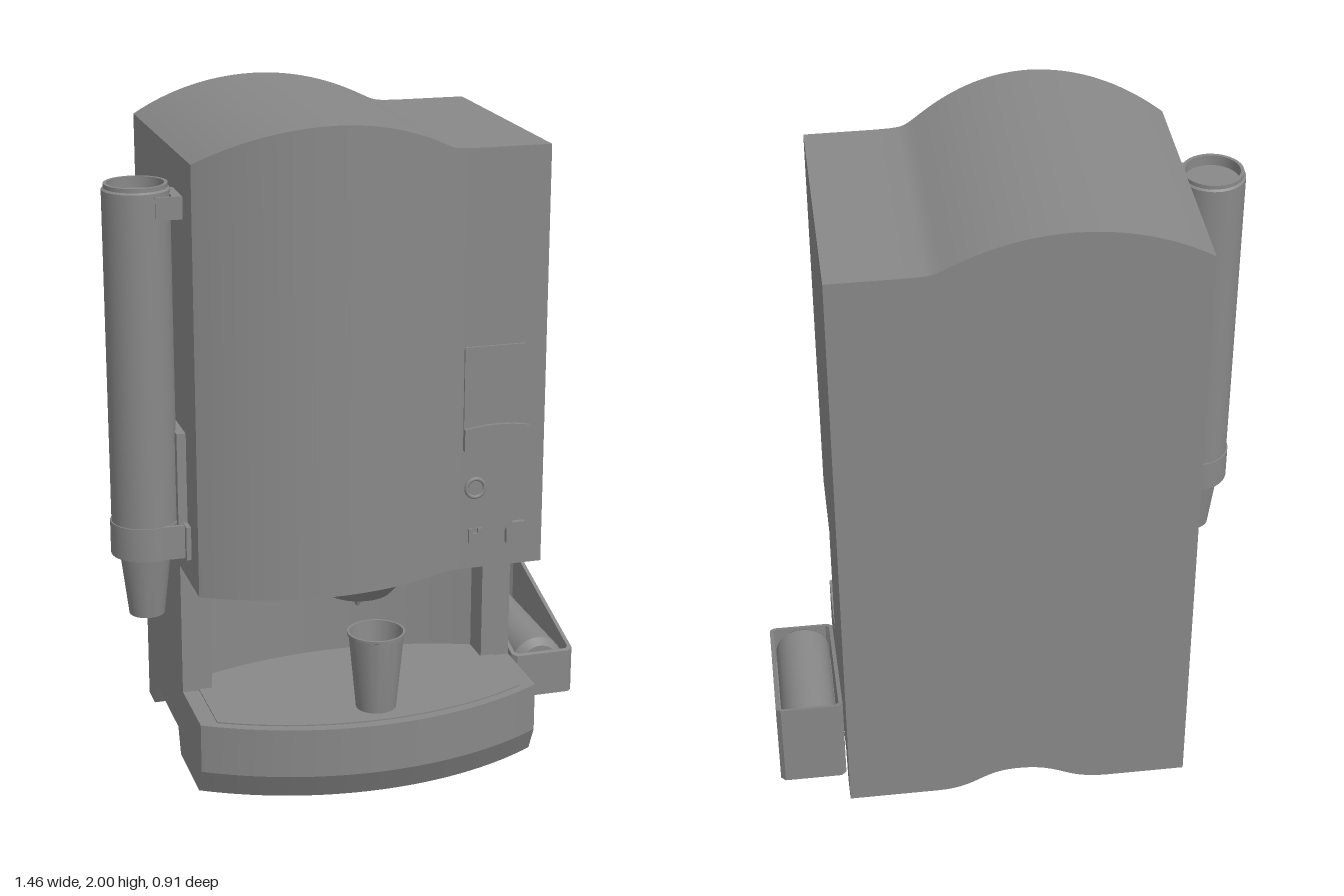
import * as THREE from 'three';
import { toCreasedNormals } from 'three/addons/utils/BufferGeometryUtils.js';

const V2 = (x, y) => new THREE.Vector2(x, y);

export function createModel() {
  const model = new THREE.Group();
  const grey = new THREE.MeshStandardMaterial({ color: 0x888888 });
  const thin = new THREE.MeshStandardMaterial({ color: 0x888888, side: THREE.DoubleSide });

  const add = (name, geo, pos = [0, 0, 0], mat = grey, parent = model) => {
    const mesh = new THREE.Mesh(geo, mat);
    mesh.name = name;
    mesh.position.set(...pos);
    parent.add(mesh);
    return mesh;
  };
  // Box given by its lower and upper corners
  const block = (name, a, b, parent = model) => add(name,
    new THREE.BoxGeometry(b[0] - a[0], b[1] - a[1], b[2] - a[2]),
    a.map((v, i) => (v + b[i]) / 2), grey, parent);
  const lathe = (name, pts, pos, parent = model) => add(name,
    toCreasedNormals(new THREE.LatheGeometry(pts.map(p => V2(...p)), 40), 0.6), pos, thin, parent);
  // Height of a circular arc with the given rise over [c - half, c + half]
  const arc = (x, c, half, rise) => {
    const r = (half * half + rise * rise) / (2 * rise);
    return Math.sqrt(Math.max(0, r * r - (x - c) ** 2)) - (r - rise);
  };
  // Box cut into slices along x, each vertex placed by a rule
  const slicedBox = (xs, layers, rule) => {
    const n = xs.length - 1;
    const geo = new THREE.BoxGeometry(1, 1, 1, n, layers, 1);
    const p = geo.attributes.position;
    for (let i = 0; i < p.count; i++) {
      const x = xs[Math.round((p.getX(i) + 0.5) * n)];
      const layer = Math.round((p.getY(i) + 0.5) * layers);
      p.setXYZ(i, x, ...rule(x, layer, p.getZ(i) > 0));
    }
    return toCreasedNormals(geo, 0.4);
  };
  const span = (a, b, n) => Array.from({ length: n + 1 }, (_, i) => a + (b - a) * i / n);
  // Plan outline (x, -z) raised from y0 to y1
  const raise = (shape, y0, y1) => {
    const geo = new THREE.ExtrudeGeometry(shape, { depth: y1 - y0, bevelEnabled: false, curveSegments: 32 });
    return toCreasedNormals(geo.rotateX(-Math.PI / 2).translate(0, y0, 0), 0.5);
  };

  // Upper housing: the same wave, eased into the flat right end, shapes roof and front
  const wave = x => {
    const a = arc(x, -0.145, 0.375, 0.105);
    return x < -0.145 ? a : (a + Math.hypot(a, 0.014)) / 2;
  };
  add('upperHousing', slicedBox([...span(-0.52, 0.12, 32), ...span(0.13, 0.33, 20), 0.52], 1,
    (x, layer, front) => [layer ? 1.895 + wave(x) : 0.64, front ? 0.325 + wave(x) : -0.455]));

  // Rear column with a concave alcove, above a solid floor
  const column = new THREE.Shape([V2(-0.52, 0.455), V2(-0.52, -0.07), V2(-0.43, -0.07), V2(-0.43, 0.03)]);
  column.quadraticCurveTo(0, 0.2, 0.43, 0.03);
  column.lineTo(0.43, -0.07);
  column.lineTo(0.52, -0.07);
  column.lineTo(0.52, 0.455);
  add('rearColumn', raise(column, 0.23, 0.64));
  block('rearFloor', [-0.52, 0.08, -0.455], [0.52, 0.23, -0.01]);

  // Rear foot with a shallow arch and a slanted inner face
  const foot = new THREE.Shape([V2(-0.52, 0.08), V2(-0.52, 0), V2(-0.28, 0)]);
  foot.bezierCurveTo(-0.14, 0, -0.14, 0.065, 0, 0.065);
  foot.bezierCurveTo(0.12, 0.065, 0.12, 0, 0.25, 0);
  foot.lineTo(0.52, 0);
  foot.lineTo(0.52, 0.08);
  const footGeo = new THREE.ExtrudeGeometry(foot, { depth: 1, bevelEnabled: false });
  const fp = footGeo.attributes.position;
  for (let i = 0; i < fp.count; i++) {
    fp.setZ(i, fp.getZ(i) > 0.5 ? -0.37 + 0.05 * fp.getY(i) / 0.08 : -0.455);
  }
  add('rearFoot', toCreasedNormals(footGeo, 0.5));

  // Front base, drawn in along the bottom
  const baseFront = x => 0.31 + arc(x, 0, 0.52, 0.145);
  add('base', slicedBox(span(-0.52, 0.52, 40), 2, (x, layer, front) =>
    [[0, 0.08, 0.23][layer], front ? baseFront(x) - (layer ? 0 : 0.04) : (layer ? -0.01 : 0.02)]));
  add('dripTray', slicedBox(span(-0.47, 0.47, 40), 1, (x, layer, front) =>
    [layer ? 0.234 : 0.22, front ? baseFront(x) - 0.03 : 0.07]));

  // Dispensing head and slanted spout
  lathe('dispensingHead', [[0, 0.525], [0.1, 0.525], [0.145, 0.575], [0.145, 0.645]], [0.015, 0, 0.12]);
  const spout = new THREE.CylinderGeometry(0.026, 0.006, 0.06, 20);
  const sp = spout.attributes.position;
  for (let i = 0; i < sp.count; i++) if (sp.getY(i) < 0) sp.setZ(i, sp.getZ(i) - 0.02);
  add('spout', spout, [0.01, 0.508, 0.15]);

  // Tapered cup with a rim
  const cup = [[0, 0.01], [0.058, 0.01], [0.06, 0], [0.082, 0.23], [0.086, 0.232], [0.086, 0.24],
    [0.079, 0.24], [0.055, 0.015], [0, 0.015]];
  lathe('cup', cup, [0.01, 0.234, 0.326]);

  // Control panel
  const panel = new THREE.Group();
  panel.name = 'controlPanel';
  model.add(panel);
  const plate = (name, pts, z0, z1) => add(name, new THREE.ExtrudeGeometry(
    new THREE.Shape(pts.map(p => V2(...p))), { depth: z1 - z0, bevelEnabled: false }), [0, 0, z0], grey, panel);
  plate('displayPlate', [[0.27, 1.04], [0.47, 1.04], [0.47, 1.305], [0.455, 1.32], [0.27, 1.32]], 0.31, 0.333);
  const ledge = new THREE.Shape([V2(0.27, 1.075), V2(0.27, 1.01)]);
  ledge.quadraticCurveTo(0.37, 0.985, 0.455, 1.003);
  ledge.quadraticCurveTo(0.47, 1.006, 0.47, 1.02);
  ledge.lineTo(0.47, 1.075);
  ledge.quadraticCurveTo(0.37, 1.095, 0.27, 1.075);
  add('displayLedge', new THREE.ExtrudeGeometry(ledge, { depth: 0.03, bevelEnabled: false }), [0, 0, 0.314], grey, panel);
  add('buttonRing', new THREE.TorusGeometry(0.028, 0.006, 10, 32), [0.31, 0.89, 0.327], grey, panel);
  const button = new THREE.CylinderGeometry(0.022, 0.022, 0.02, 24).rotateX(Math.PI / 2);
  add('button', button, [0.31, 0.89, 0.32], grey, panel);
  plate('keyLock', [[0.29, 0.722], [0.33, 0.722], [0.33, 0.765], [0.318, 0.765], [0.318, 0.75],
    [0.302, 0.75], [0.302, 0.765], [0.29, 0.765]], 0.31, 0.335);
  plate('coinSlot', [[0.405, 0.712], [0.482, 0.712], [0.482, 0.758], [0.462, 0.776], [0.425, 0.776],
    [0.405, 0.758]], 0.31, 0.342);

  // Cup dispenser on the right side
  const dispenser = new THREE.Group();
  dispenser.name = 'cupDispenser';
  dispenser.position.set(-0.632, 0, 0.12);
  model.add(dispenser);
  lathe('dispenserTube', [[0.08, 0.74], [0.096, 0.74], [0.096, 1.795], [0.09, 1.8], [0.09, 1.812],
    [0.08, 1.812], [0.08, 0.74]], [0, 0, 0], dispenser);
  lathe('dispenserCollar', [[0.07, 0.72], [0.1, 0.72], [0.1, 0.82], [0.09, 0.82]], [0, 0, 0], dispenser);
  lathe('hangingCup', [[0, 0.535], [0.05, 0.535], [0.052, 0.527], [0.076, 0.73], [0, 0.73]], [0, 0, 0], dispenser);
  lathe('topCup', [[0, 1.78], [0.081, 1.78]], [0, 0, 0], dispenser);
  block('mountPlate', [0.085, 0.72, -0.07], [0.113, 1.09, 0.07], dispenser);
  for (const s of [-1, 1]) {
    block('collarArm', [0, 0.72, s * 0.09 - 0.005], [0.1, 0.82, s * 0.09 + 0.005], dispenser);
    block('collarFlange', [0.098, 0.72, s * 0.09 - 0.025], [0.113, 0.82, s * 0.09 + 0.025], dispenser);
  }
  block('topClip', [0.085, 1.72, -0.03], [0.113, 1.785, 0.09], dispenser);
  block('topClipArm', [0.036, 1.72, 0.084], [0.113, 1.785, 0.094], dispenser);

  // Lid bin on the left side: a chamfered shell with a sloping rim
  const bin = new THREE.Group();
  bin.name = 'lidBin';
  bin.position.x = 0.627;
  model.add(bin);
  const chamfered = (w, z0, z1, c) => [V2(-w + c, z0), V2(w - c, z0), V2(w, z0 + c), V2(w, z1 - c),
    V2(w - c, z1), V2(-w + c, z1), V2(-w, z1 - c), V2(-w, z0 + c)];
  const shell = new THREE.Shape(chamfered(0.1, -0.1, 0.44, 0.014));
  shell.holes.push(new THREE.Path(chamfered(0.088, -0.088, 0.428, 0.01)));
  const shellGeo = raise(shell, 0, 1);
  const bp = shellGeo.attributes.position;
  for (let i = 0; i < bp.count; i++) {
    bp.setY(i, bp.getY(i) > 0.5 ? 0.23 + 0.15 * (0.1 - bp.getZ(i)) / 0.54 : 0.09);
  }
  shellGeo.computeVertexNormals();
  add('binShell', shellGeo, [0, 0, 0], grey, bin);
  block('binFloor', [-0.095, 0.09, -0.43], [0.095, 0.102, 0.09], bin);
  const lids = lathe('lidStack', [[0, -0.427], [0.084, -0.427], [0.084, 0.045], [0.065, 0.07], [0, 0.07]],
    [0, 0.178, 0], bin);
  lids.rotation.x = Math.PI / 2;

  return model;
}
